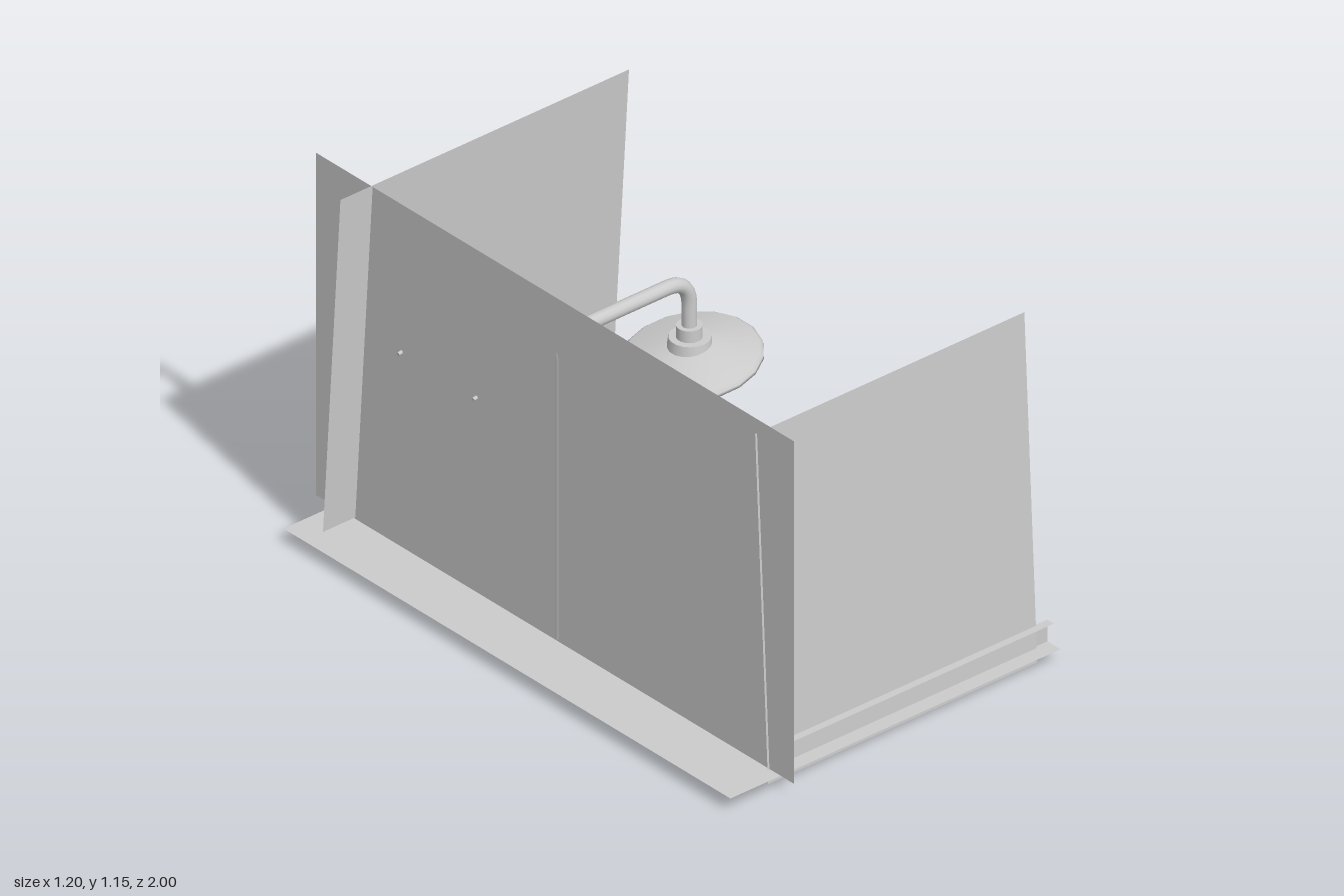
import * as THREE from 'three';

const mat = new THREE.MeshStandardMaterial({ color: 0xcccccc, side: THREE.DoubleSide });
const V = (x, y, z) => new THREE.Vector3(x, y, z);

function add(parent, name, geometry, x = 0, y = 0, z = 0) {
  const mesh = new THREE.Mesh(geometry, mat);
  mesh.name = name;
  mesh.position.set(x, y, z);
  parent.add(mesh);
  return mesh;
}

function group(parent, name, x = 0, y = 0, z = 0) {
  const g = new THREE.Group();
  g.name = name;
  g.position.set(x, y, z);
  parent.add(g);
  return g;
}

// Flat four-cornered sheet
function sheet(a, b, c, d) {
  const g = new THREE.BufferGeometry().setFromPoints([a, b, c, a, c, d]);
  g.computeVertexNormals();
  return g;
}

// Round bar between two points
function bar(parent, name, a, b, r, sides = 10) {
  const mesh = add(parent, name, new THREE.CylinderGeometry(r, r, a.distanceTo(b), sides));
  mesh.position.copy(a).add(b).multiplyScalar(0.5);
  mesh.quaternion.setFromUnitVectors(V(0, 1, 0), b.clone().sub(a).normalize());
  return mesh;
}

// Lathe with separate rings per segment so profile corners stay crisp
function lathe(points, sides, start = 0) {
  return new THREE.LatheGeometry(points.map(p => new THREE.Vector2(...p)), sides, start);
}

function room(root) {
  const g = group(root, 'room');
  add(g, 'floor', sheet(V(-0.6, 0.045, 0.945), V(0.595, 0.045, 0.945), V(0.595, 0.045, -0.925), V(-0.6, 0.045, -0.925)));
  add(g, 'sideWall', sheet(V(-0.418, 0.045, 1), V(-0.418, 0.045, -1), V(-0.418, 1.145, -1), V(-0.418, 1.145, 1)));
  // End walls lean inwards
  add(g, 'backWall', sheet(V(-0.535, 0.05, -0.835), V(0.51, 0.05, -0.835), V(0.51, 1.15, -0.762), V(-0.535, 1.15, -0.762)));
  add(g, 'frontWall', sheet(V(-0.425, 0, 0.9), V(0.55, 0, 0.9), V(0.55, 1.1, 0.846), V(-0.425, 1.1, 0.846)));
  // Skirting: upright face with a narrow ledge on top
  const lo = 0.045, hi = 0.115;
  for (const [name, zi, zo] of [['backSkirting', -0.823, -0.847], ['frontSkirting', 0.89, 0.918]]) {
    add(g, name, sheet(V(-0.418, lo, zi), V(0.595, lo, zi), V(0.595, hi, zi), V(-0.418, hi, zi)));
    add(g, name + 'Ledge', sheet(V(-0.418, hi, zi), V(0.595, hi, zi), V(0.595, hi, zo), V(-0.418, hi, zo)));
  }
  add(g, 'sideSkirting', sheet(V(-0.406, lo, 0.89), V(-0.406, lo, -0.823), V(-0.406, hi, -0.823), V(-0.406, hi, 0.89)));
  add(g, 'sideSkirtingLedge', sheet(V(-0.406, hi, 0.89), V(-0.406, hi, -0.823), V(-0.418, hi, -0.823), V(-0.418, hi, 0.89)));
}

function shower(root) {
  const g = group(root, 'shower', 0, 0, 0.008);
  // Riser pipe, bent over and down to the head
  const path = new THREE.CurvePath();
  const pipe = [V(-0.398, 0.05, 0), V(-0.398, 0.95, 0), V(-0.398, 1.018, 0), V(-0.33, 1.018, 0),
    V(-0.02, 1.018, 0), V(0.062, 1.018, 0), V(0.062, 0.93, 0), V(0.062, 0.84, 0)];
  path.add(new THREE.LineCurve3(pipe[0], pipe[1]));
  path.add(new THREE.QuadraticBezierCurve3(pipe[1], pipe[2], pipe[3]));
  path.add(new THREE.LineCurve3(pipe[3], pipe[4]));
  path.add(new THREE.QuadraticBezierCurve3(pipe[4], pipe[5], pipe[6]));
  path.add(new THREE.LineCurve3(pipe[6], pipe[7]));
  add(g, 'pipe', new THREE.TubeGeometry(path, 90, 0.022, 12, false));
  add(g, 'nozzleCollar', new THREE.CylinderGeometry(0.037, 0.037, 0.045, 18), 0.062, 0.845, 0);
  add(g, 'nozzleBase', new THREE.CylinderGeometry(0.06, 0.065, 0.04, 18), 0.064, 0.81, 0);
  // Wide shallow head, tipped slightly
  const head = add(g, 'showerHead', lathe([[0, 0.045], [0.065, 0.04], [0.19, 0.004], [0.2, -0.004],
    [0.2, -0.014], [0.185, -0.012], [0.06, 0.024], [0, 0.028]], 18), 0.07, 0.768, 0);
  head.rotation.z = 0.15;
}

function pail(root) {
  const g = group(root, 'pail', 0.075, 0, 0.515);
  const start = Math.PI / 30;
  add(g, 'pailBody', lathe([[0.132, 0.14], [0.14, 0.3], [0.122, 0.3], [0.112, 0.15], [0, 0.14]], 8, start));
  add(g, 'pailUnderside', lathe([[0.132, 0.14], [0.122, 0.122], [0.115, 0.118]], 8, start));
  add(g, 'pailFoot', lathe([[0, 0.062], [0.113, 0.062], [0.121, 0.122], [0, 0.122]], 8, start));
  // Upright grip rising from one side
  const grip = add(g, 'pailGrip', new THREE.BoxGeometry(0.03, 0.17, 0.1), -0.128, 0.32, -0.028);
  grip.rotation.set(0, -0.2, 0.06);
}

function towelRail(root) {
  const g = group(root, 'towelRail');
  const x = -0.36, y = 0.68;
  bar(g, 'rail', V(x, y, -0.645), V(x, y, -0.32), 0.016);
  for (const z of [-0.642, -0.328]) {
    bar(g, 'bracket', V(-0.43, y - 0.012, z), V(x, y, z), 0.006, 8);
    add(g, 'railKnob', new THREE.SphereGeometry(0.018, 10, 8), x, y, z);
  }
  // Towel folded over the rail
  const s = new THREE.Shape();
  s.moveTo(0.035, -0.285);
  s.lineTo(0.035, 0);
  s.absarc(0, 0, 0.035, 0, Math.PI, false);
  s.lineTo(-0.035, -0.22);
  s.lineTo(-0.022, -0.22);
  s.lineTo(-0.022, 0);
  s.absarc(0, 0, 0.022, Math.PI, 0, true);
  s.lineTo(0.022, -0.285);
  s.closePath();
  add(g, 'towel', new THREE.ExtrudeGeometry(s, { depth: 0.27, bevelEnabled: false, curveSegments: 10 }), x, y, -0.615);
}

function stool(root) {
  const g = group(root, 'stool', 0.27, 0, -0.484);
  add(g, 'seat', lathe([[0, 0.236], [0.175, 0.236], [0.19, 0.244], [0.194, 0.256], [0.188, 0.27], [0.17, 0.277], [0, 0.277]], 28));
  // Splayed legs joined by rungs
  const at = (i, r, y) => {
    const a = i * Math.PI / 2 + 0.18;
    return V(Math.sin(a) * r, y, Math.cos(a) * r);
  };
  for (let i = 0; i < 4; i++) {
    bar(g, 'leg', at(i, 0.213, 0.042), at(i, 0.128, 0.245), 0.022);
    bar(g, 'rung', at(i, 0.162, 0.16), at(i + 1, 0.162, 0.16), 0.012, 8);
  }
  // Soft waisted sponge lying on the seat
  const outline = [[-0.105, 0.115], [-0.015, 0.15], [0.065, 0.115], [0.062, 0.045], [0.112, -0.06],
    [0.108, -0.115], [0.045, -0.132], [-0.045, -0.075], [-0.055, -0.005], [-0.1, 0.07]];
  const s = new THREE.Shape();
  s.moveTo(...outline[0]);
  s.splineThru([...outline.slice(1), outline[0]].map(p => new THREE.Vector2(...p)));
  const geo = new THREE.ExtrudeGeometry(s, { depth: 0.038, bevelThickness: 0.021, bevelSize: 0.018,
    bevelOffset: -0.008, bevelSegments: 4, curveSegments: 3 });
  geo.rotateX(-Math.PI / 2);
  add(g, 'sponge', geo, 0, 0.298, 0);
}

export function createModel() {
  const root = new THREE.Group();
  root.name = 'showerCorner';
  room(root);
  shower(root);
  pail(root);
  towelRail(root);
  stool(root);
  return root;
}
